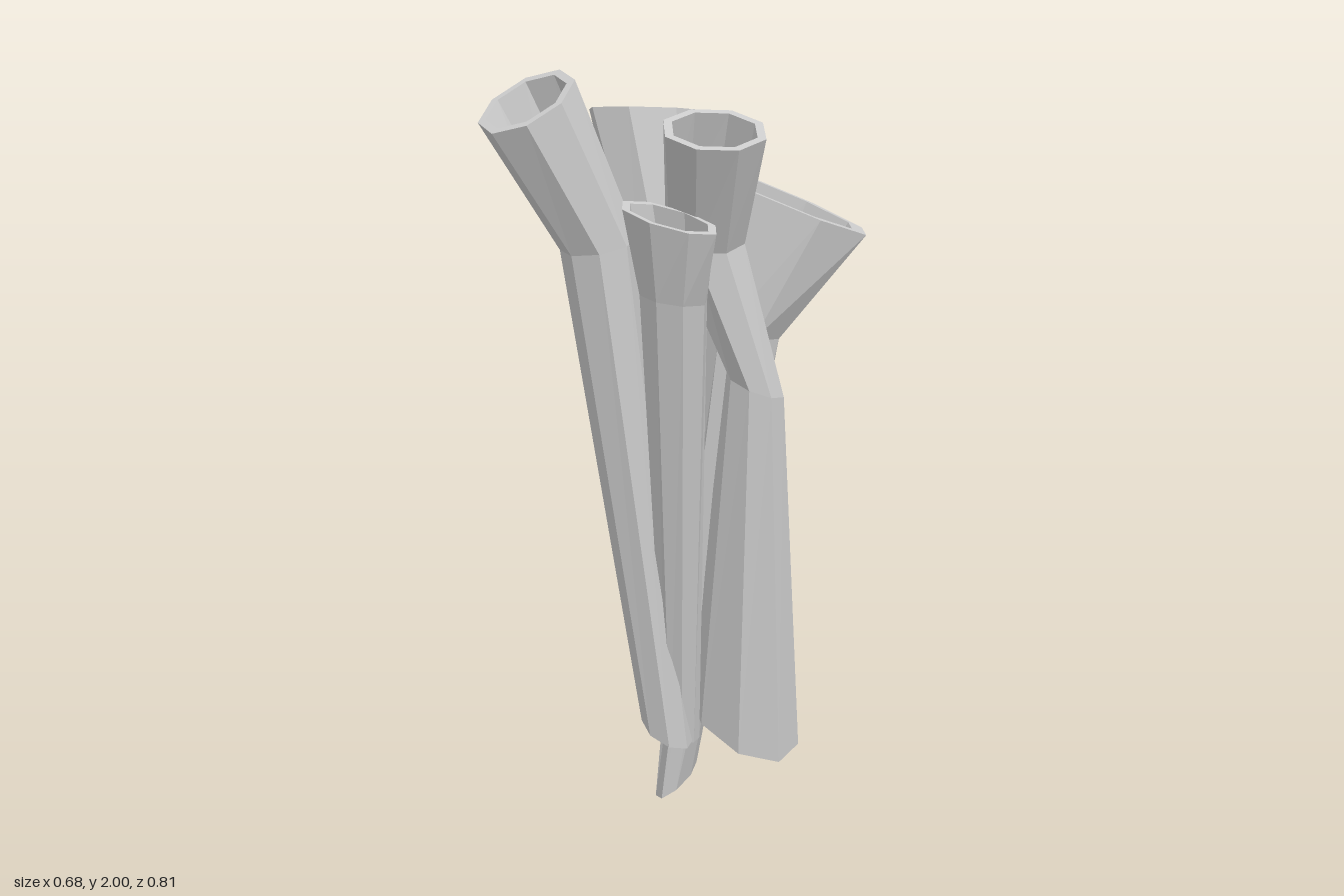
import * as THREE from 'three';

const SIDES = 8;
const material = new THREE.MeshStandardMaterial({ color: 0xcccccc, flatShading: true });

// One section: centre, two radii, slope of its plane along x and z, turn about y.
const sec = (x, y, z, rx, rz, sx = 0, sz = 0, turn = 0) => [x, y, z, rx, rz, sx, sz, turn];

function ringPoints([x, y, z, rx, rz, sx, sz, turn], phase) {
  return Array.from({ length: SIDES }, (_, i) => {
    const a = (i / SIDES) * Math.PI * 2 + phase;
    const u = Math.cos(a) * rx, v = Math.sin(a) * rz;
    const dx = u * Math.cos(turn) - v * Math.sin(turn);
    const dz = u * Math.sin(turn) + v * Math.cos(turn);
    return new THREE.Vector3(x + dx, y + sx * dx + sz * dz, z + dz);
  });
}

const scaled = (s, k) => s.map((v, i) => (i === 3 || i === 4 ? v * k : v));
const mixed = (a, b, t) => a.map((v, i) => v + (b[i] - v) * t);

// Faceted trumpet: outer wall, flat lip, hollow cup and closed ends.
// depth is the cup floor's place between the rim (0) and the knee (1).
function trumpet(name, depth, phase, sections) {
  const rim = sections[sections.length - 1];
  const knee = sections[sections.length - 2];
  const floor = scaled(mixed(rim, knee, depth), 0.84);
  const rings = [...sections, scaled(rim, 0.83), floor].map((s) => ringPoints(s, phase));
  const pos = [];
  const tri = (...pts) => pts.forEach((p) => pos.push(p.x, p.y, p.z));
  for (let r = 0; r < rings.length - 1; r++) {
    for (let i = 0; i < SIDES; i++) {
      const j = (i + 1) % SIDES, a = rings[r], b = rings[r + 1];
      tri(a[i], b[i], a[j]);
      tri(a[j], b[i], b[j]);
    }
  }
  const foot = new THREE.Vector3(...sections[0]);
  const base = new THREE.Vector3(...floor);
  const first = rings[0], last = rings[rings.length - 1];
  for (let i = 0; i < SIDES; i++) {
    const j = (i + 1) % SIDES;
    tri(foot, first[i], first[j]);
    tri(base, last[j], last[i]);
  }
  const geo = new THREE.BufferGeometry();
  geo.setAttribute('position', new THREE.Float32BufferAttribute(pos, 3));
  geo.computeVertexNormals();
  const mesh = new THREE.Mesh(geo, material);
  mesh.name = name;
  return mesh;
}

export function createModel() {
  const group = new THREE.Group();
  group.name = 'tubeCluster';
  group.add(
    // Tallest tube, bending forward
    trumpet('frontRightTube', 0.65, 0, [
      sec(0.005, 0.27, 0.02, 0.077, 0.062, -0.4, 0),
      sec(-0.104, 1.58, 0.152, 0.107, 0.088, 0.05, -0.25),
      sec(-0.202, 1.932, 0.295, 0.135, 0.107, 0.05, -0.65),
    ]),
    // Wide oval mouth behind it
    trumpet('backRightTube', 0.45, 0, [
      sec(0.0, 0.28, -0.02, 0.05, 0.05),
      sec(-0.12, 1.44, -0.09, 0.087, 0.092, 0.15, 0.05),
      sec(-0.212, 1.88, -0.11, 0.123, 0.172, 0.12, 0.12, 0.1),
    ]),
    // Longest stem, flaring towards the back
    trumpet('backLeftTube', 0.78, 0.24, [
      sec(-0.127, 0.035, -0.133, 0.05, 0.12, 0.5, -0.35, -0.58),
      sec(0.062, 1.34, -0.176, 0.113, 0.113, -0.1, 0.1, -0.58),
      sec(0.139, 1.68, -0.25, 0.226, 0.12, -0.28, 0.27, -0.58),
    ]),
    // Double-bent tube with a broad foot
    trumpet('leftTube', 0.65, 0.24, [
      sec(0.107, 0.285, -0.163, 0.168, 0.122, -0.4, -0.12),
      sec(0.195, 1.23, -0.105, 0.077, 0.07, -0.3, 0.2),
      sec(0.1, 1.6, -0.02, 0.103, 0.098, -0.2, -0.15),
      sec(0.203, 1.88, 0.048, 0.121, 0.137, -0.27, -0.12),
    ]),
    // Shortest and thinnest tube
    trumpet('frontLeftTube', 0.65, 0, [
      sec(0.02, 0.24, -0.02, 0.045, 0.045),
      sec(0.155, 1.48, 0.137, 0.092, 0.07, -0.1, 0, -0.2),
      sec(0.175, 1.68, 0.17, 0.138, 0.077, -0.2, 0, -0.2),
    ]),
  );
  return group;
}
